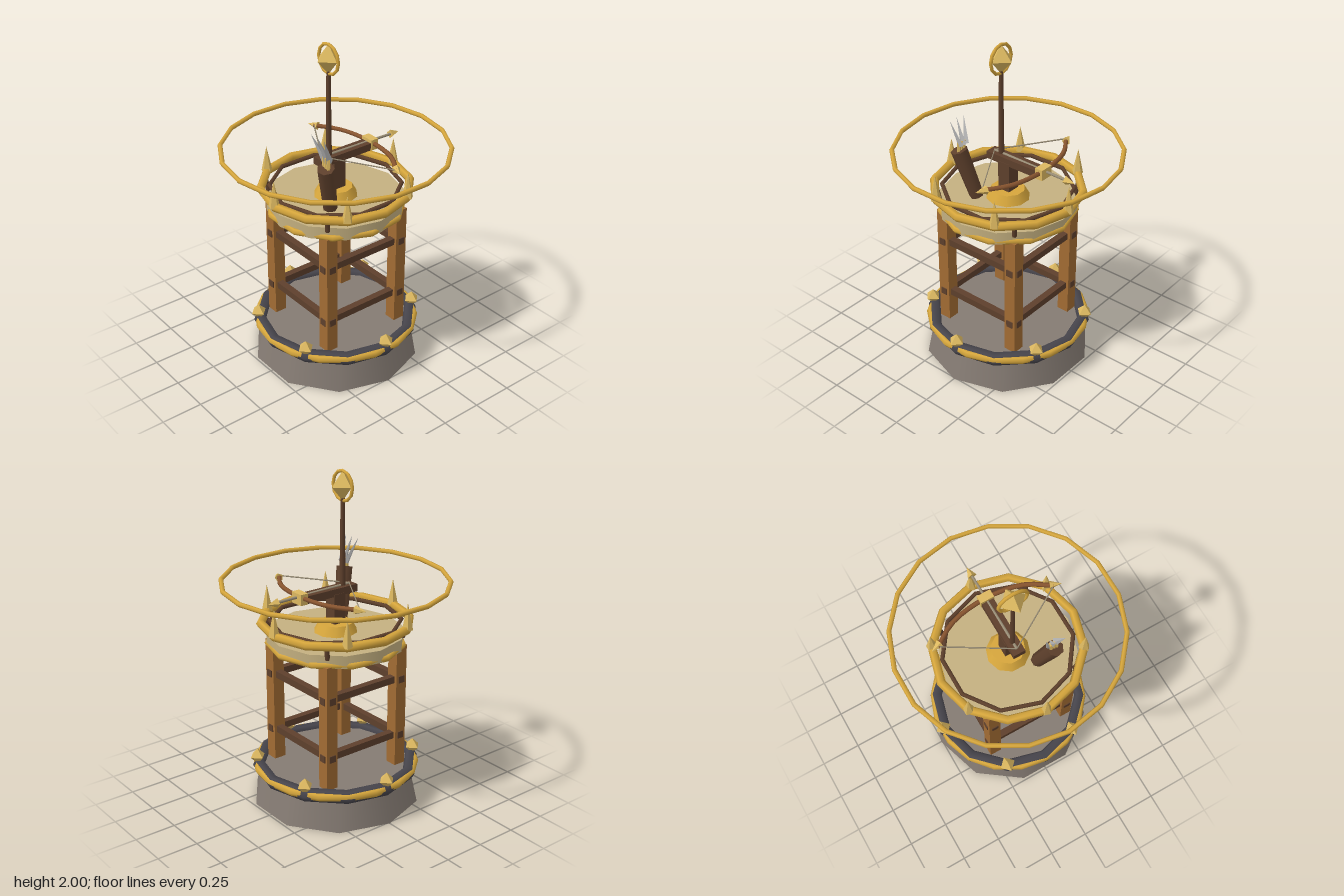
import * as THREE from 'three';

const mat = (color, flatShading = false) => new THREE.MeshStandardMaterial({ color, flatShading });
const stone = mat(0x857b73), iron = mat(0x47454c), gold = mat(0xd6a63c), gem = mat(0xdcb860, true);
const wood = mat(0xa26c33), dark = mat(0x5e402c), deckTan = mat(0xc4b080), bowWood = mat(0x8a5630);
const steel = mat(0xb4b4b4, true), cord = mat(0x9c9078);
const V = (x, y, z) => new THREE.Vector3(x, y, z);
const UP = V(0, 1, 0);

export function createModel() {
  const root = new THREE.Group();

  const add = (name, geo, material, x = 0, y = 0, z = 0) => {
    const m = new THREE.Mesh(geo, material);
    m.name = name;
    m.position.set(x, y, z);
    root.add(m);
    return m;
  };
  const box = (name, material, w, h, d, x, y, z) =>
    add(name, new THREE.BoxGeometry(w, h, d), material, x, y, z);
  const drum = (name, material, rTop, rBottom, y0, y1, sides) =>
    add(name, new THREE.CylinderGeometry(rTop, rBottom, y1 - y0, sides), material, 0, (y0 + y1) / 2, 0);
  // Horizontal ring around the tower axis
  const ring = (name, material, r, tube, y, radial, segs) => {
    const m = add(name, new THREE.TorusGeometry(r, tube, radial, segs), material, 0, y, 0);
    m.rotation.x = Math.PI / 2;
    return m;
  };
  // Tapered rod between two points
  const rod = (name, material, a, b, rA, rB, sides = 6) => {
    const m = add(name, new THREE.CylinderGeometry(rB, rA, a.distanceTo(b), sides), material);
    m.position.copy(a).lerp(b, 0.5);
    m.quaternion.setFromUnitVectors(UP, b.clone().sub(a).normalize());
    return m;
  };

  // Stone foot with iron and gold bands
  drum('stoneBase', stone, 0.46, 0.51, 0, 0.22, 10);
  ring('ironBand', iron, 0.465, 0.04, 0.21, 6, 12);
  ring('goldBand', gold, 0.48, 0.024, 0.215, 6, 18);
  for (let i = 0; i < 6; i++) {
    const a = i * Math.PI / 3;
    add('baseGem', new THREE.OctahedronGeometry(0.05), gem, Math.sin(a) * 0.475, 0.27, Math.cos(a) * 0.475);
  }

  // Four legs, braces passing through them, and short rail posts
  for (const sx of [-1, 1]) for (const sz of [-1, 1]) {
    box('leg', wood, 0.075, 0.79, 0.075, sx * 0.257, 0.59, sz * 0.257);
    rod('railPost', dark, V(sx * 0.277, 1.03, sz * 0.277), V(sx * 0.29, 1.12, sz * 0.29), 0.014, 0.014);
  }
  for (const y of [0.415, 0.775]) for (const s of [-1, 1]) {
    box('braceAcross', dark, 0.6, 0.042, 0.042, 0, y, s * 0.257);
    box('braceDeep', dark, 0.042, 0.042, 0.6, s * 0.257, y, 0);
  }

  // Platform and railing
  drum('platform', deckTan, 0.405, 0.405, 0.98, 1.055, 12);
  ring('platformTrim', gold, 0.396, 0.02, 0.992, 6, 11);
  ring('goldRail', gold, 0.437, 0.026, 1.12, 6, 12);
  ring('innerRail', dark, 0.384, 0.013, 1.12, 6, 10);
  for (let i = 0; i < 6; i++) {
    const a = i * Math.PI / 3;
    add('railSpike', new THREE.ConeGeometry(0.034, 0.16, 5), gem, Math.cos(a) * 0.437, 1.2, Math.sin(a) * 0.437);
  }
  ring('floatingHalo', gold, 0.66, 0.014, 1.36, 6, 18);

  // Crossbow on its pivot
  drum('pivot', gold, 0.1, 0.13, 1.055, 1.11, 10);
  box('pivotPost', dark, 0.08, 0.2, 0.08, 0, 1.19, 0);
  box('stock', dark, 0.4, 0.045, 0.075, 0.07, 1.3, 0);
  box('bowClamp', gem, 0.05, 0.065, 0.085, 0.255, 1.31, 0);
  const bowCurve = new THREE.CatmullRomCurve3([
    V(0.13, 1.315, -0.375), V(0.215, 1.315, -0.24), V(0.25, 1.315, -0.09),
    V(0.25, 1.315, 0.09), V(0.215, 1.315, 0.24), V(0.13, 1.315, 0.375)]);
  add('bow', new THREE.TubeGeometry(bowCurve, 14, 0.014, 6), bowWood);
  for (const s of [-1, 1]) {
    rod('bowTip', gem, V(0.145, 1.315, s * 0.355), V(0.12, 1.315, s * 0.42), 0.026, 0, 5);
    rod('bowString', cord, V(0.13, 1.32, s * 0.375), V(-0.1, 1.326, 0), 0.004, 0.004, 4);
  }
  rod('bolt', cord, V(-0.1, 1.325, 0), V(0.42, 1.315, 0), 0.008, 0.008);
  rod('boltHead', gem, V(0.41, 1.315, 0), V(0.475, 1.315, 0), 0.028, 0, 4);

  // Mast with crystal finial
  rod('mast', dark, V(-0.05, 1.3, 0), V(-0.05, 1.85, 0), 0.018, 0.012);
  const crystal = add('finialCrystal', new THREE.OctahedronGeometry(0.075), gem, -0.05, 1.905, 0);
  crystal.scale.y = 1.15;
  const halo = add('finialRing', new THREE.TorusGeometry(0.086, 0.01, 6, 12), gold, -0.05, 1.905, 0);
  halo.rotation.y = Math.PI / 2;

  // Leaning quiver with three fletched arrows
  rod('quiver', dark, V(-0.135, 1.06, 0.12), V(-0.212, 1.36, 0.18), 0.042, 0.05, 7);
  for (let i = -1; i <= 1; i++) {
    const nock = V(-0.2, 1.42, 0.17 + i * 0.02);
    rod('arrowShaft', gem, V(-0.205, 1.33, 0.175 + i * 0.018), nock, 0.012, 0.012, 5);
    const feather = rod('fletching', steel, V(-0.19, 1.395, 0.165 + i * 0.022),
      V(-0.248, 1.55, 0.155 + i * 0.058), 0.022, 0, 4);
    feather.scale.z = 0.6;
  }

  return root;
}
